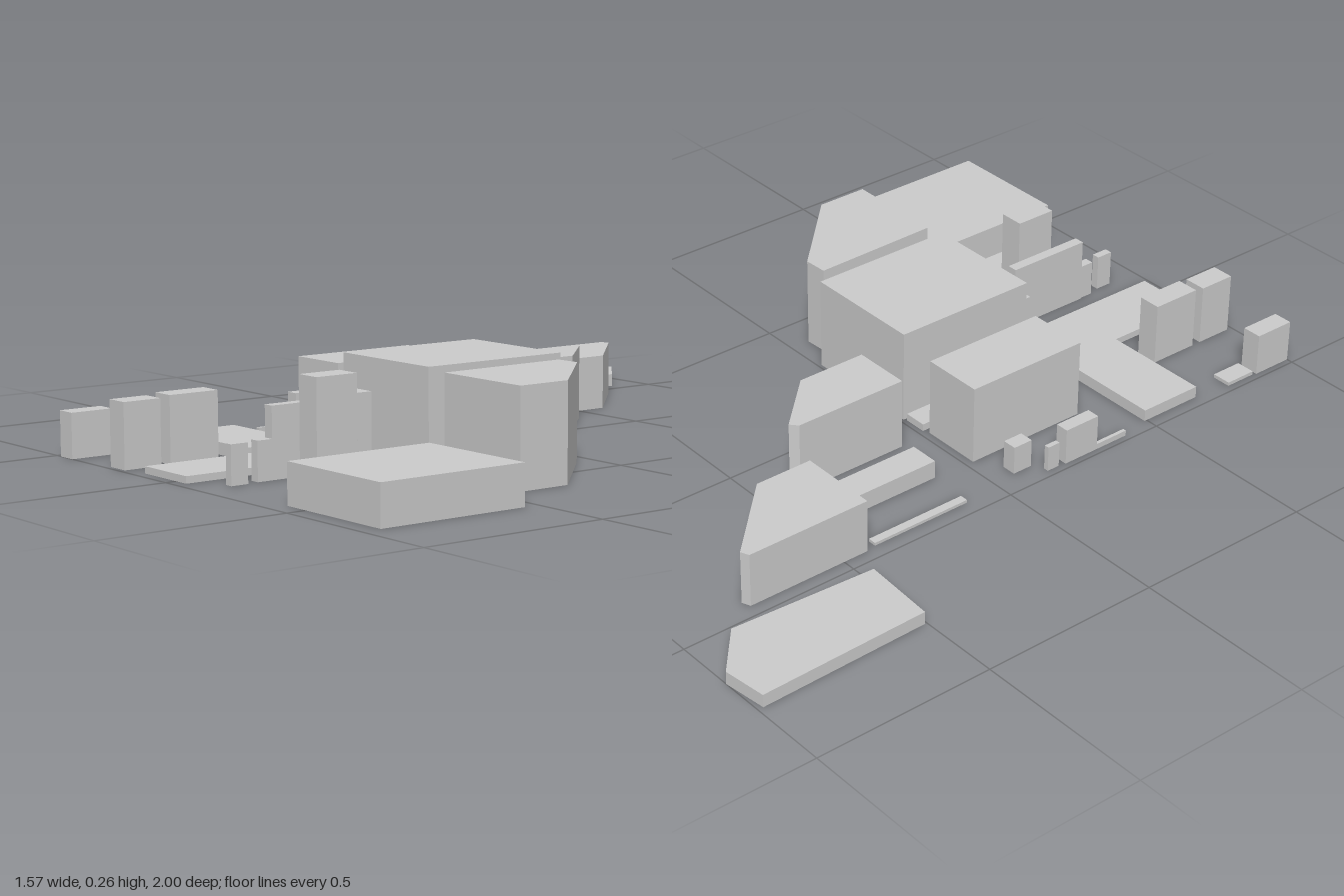
import * as THREE from 'three';

const material = new THREE.MeshStandardMaterial({ color: 0xcccccc, flatShading: true, side: THREE.DoubleSide });

// Hollow building: walls and a roof over a convex [x, z] footprint, open at the ground.
// Corners run clockwise as seen from above, starting at the back left of the plan.
function building(name, height, corners) {
  const positions = [];
  const add = ([x, z], y) => positions.push(x, y, z);
  corners.forEach((a, i) => {
    const b = corners[(i + 1) % corners.length];
    add(a, 0); add(b, height); add(b, 0);
    add(a, 0); add(a, height); add(b, height);
    if (i > 0 && i < corners.length - 1) {
      add(corners[0], height); add(b, height); add(a, height);
    }
  });
  const geometry = new THREE.BufferGeometry();
  geometry.setAttribute('position', new THREE.Float32BufferAttribute(positions, 3));
  geometry.computeVertexNormals();
  const mesh = new THREE.Mesh(geometry, material);
  mesh.name = name;
  return mesh;
}

const block = (name, x0, x1, z0, z1, height) =>
  building(name, height, [[x0, z0], [x1, z0], [x1, z1], [x0, z1]]);

export function createModel() {
  const city = new THREE.Group();
  city.name = 'cityBlocks';

  // Blocks cut by the diagonal avenue
  city.add(
    building('farSlab', 0.035, [[-0.785, -0.985], [-0.665, -1], [-0.543, -0.895], [-0.567, -0.492], [-0.775, -0.506]]),
    building('angledBlockBack', 0.147, [[-0.463, -0.78], [-0.44, -0.79], [-0.238, -0.59], [-0.238, -0.428], [-0.463, -0.428]]),
    building('angledBlockMiddle', 0.198, [[-0.16, -0.4], [-0.14, -0.418], [0.004, -0.27], [0.004, -0.073], [-0.16, -0.073]]),
    building('angledBlockFront', 0.25, [[0.333, 0.06], [0.4, 0.057], [0.625, 0.28], [0.625, 0.425], [0.34, 0.425]]),
  );

  // Large rectangular blocks
  city.add(
    block('mainBlock', -0.065, 0.282, 0.01, 0.428, 0.258),
    block('sideBlock', -0.328, -0.155, 0.023, 0.38, 0.217),
    block('wideFrontBlock', 0.428, 0.78, 0.54, 0.948, 0.103),
  );

  // Low slabs
  city.add(
    block('alleySlab', -0.138, -0.073, 0.015, 0.423, 0.02),
    block('crossSlab', -0.463, -0.138, 0.493, 0.677, 0.032),
    block('longSlab', -0.138, 0.043, 0.493, 0.97, 0.018),
    block('frontSlab', 0.28, 0.413, 0.54, 0.78, 0.022),
    block('backSlab', -0.322, -0.238, -0.41, -0.098, 0.05),
    block('backStrip', -0.457, -0.434, -0.4, -0.107, 0.008),
    block('cornerSlab', -0.478, -0.424, 0.783, 0.873, 0.01),
  );

  // Small towers and sheds: x0, x1, z0, z1, height
  [
    [-0.02, 0.064, 0.438, 0.482, 0.175],
    [0.188, 0.258, 0.625, 0.743, 0.258],
    [0.105, 0.134, 0.54, 0.785, 0.18],
    [0.108, 0.134, 0.785, 0.827, 0.1],
    [0.117, 0.139, 0.858, 0.906, 0.1],
    [-0.27, -0.206, 0.712, 0.853, 0.173],
    [-0.27, -0.206, 0.88, 0.985, 0.168],
    [-0.482, -0.427, 0.883, 1, 0.117],
    [-0.434, -0.394, 0.068, 0.125, 0.078],
    [-0.478, -0.464, 0.143, 0.18, 0.07],
    [-0.482, -0.445, 0.2, 0.307, 0.1],
    [-0.482, -0.472, 0.307, 0.408, 0.015],
  ].forEach((b, i) => city.add(block(`smallBuilding${i + 1}`, ...b)));

  return city;
}
